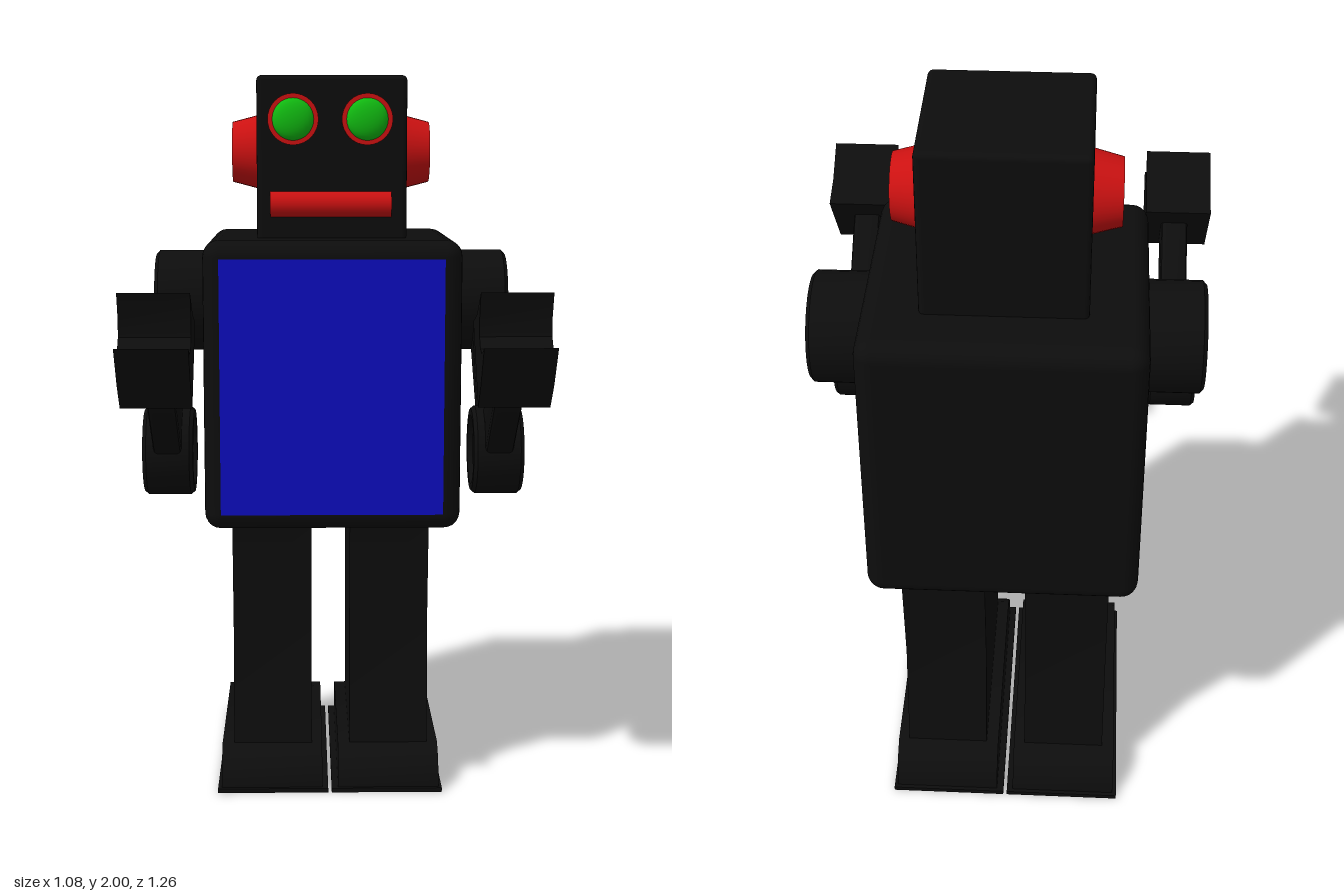
import * as THREE from 'three';
import { RoundedBoxGeometry } from 'three/addons/geometries/RoundedBoxGeometry.js';
import { toCreasedNormals } from 'three/addons/utils/BufferGeometryUtils.js';

const paint = (color) => new THREE.MeshStandardMaterial({ color });
const black = paint(0x0d0d0d);
const red = paint(0xcc1111);
const green = paint(0x11bb11);
const blue = paint(0x0c0cc0);

function part(parent, name, geometry, material, x = 0, y = 0, z = 0) {
  const mesh = new THREE.Mesh(geometry, material);
  mesh.name = name;
  mesh.position.set(x, y, z);
  parent.add(mesh);
  return mesh;
}

// Side outline given as [z, y] points, extruded along x and centred on x = 0.
function sideExtrude(points, width, bevel = 0) {
  const shape = new THREE.Shape(points.map(([z, y]) => new THREE.Vector2(z, y)));
  const depth = width - 2 * bevel;
  const g = new THREE.ExtrudeGeometry(shape, {
    depth, bevelEnabled: bevel > 0, bevelSize: bevel, bevelThickness: bevel,
    bevelOffset: -bevel, bevelSegments: 2,
  });
  g.translate(0, 0, -depth / 2);
  g.rotateY(-Math.PI / 2);
  return toCreasedNormals(g, 0.6);
}

// Flat bar with round ends between two [z, y] points.
function barPoints([z0, y0], [z1, y1], half) {
  const a = Math.atan2(y1 - y0, z1 - z0);
  const pts = [];
  for (let i = 0; i <= 8; i++) {
    const t = a + Math.PI / 2 + (i / 8) * Math.PI;
    pts.push([z0 + half * Math.cos(t), y0 + half * Math.sin(t)]);
  }
  for (let i = 0; i <= 8; i++) {
    const t = a - Math.PI / 2 + (i / 8) * Math.PI;
    pts.push([z1 + half * Math.cos(t), y1 + half * Math.sin(t)]);
  }
  return pts;
}

// Joint disc with its axis along x, a rim and a raised hub on both faces.
function jointDisc(radius, width) {
  const h = width / 2;
  const face = [[0, h - 0.01], [0.45, h - 0.01], [0.47, h - 0.025], [0.74, h - 0.025],
    [0.78, h], [0.93, h], [1, h - 0.01]];
  const lower = face.map(([r, y]) => [r, -y]);
  const profile = [...lower, ...face.slice().reverse()]
    .map(([r, y]) => new THREE.Vector2(r * radius, y));
  const g = new THREE.LatheGeometry(profile, 32);
  g.rotateZ(-Math.PI / 2);
  return toCreasedNormals(g, 0.6);
}

function buildHead() {
  const head = new THREE.Group();
  head.name = 'head';
  part(head, 'headBox', new RoundedBoxGeometry(0.415, 0.455, 0.42, 2, 0.015), black, 0, 1.772, -0.25);
  for (const s of [-1, 1]) {
    // Tapered ears
    const ear = part(head, s > 0 ? 'leftEar' : 'rightEar',
      new THREE.CylinderGeometry(0.085, 0.106, 0.08, 32), red, s * 0.24, 1.79, -0.255);
    ear.rotation.z = -s * Math.PI / 2;
    // Eyes: red disc with a domed green lens
    const x = s * 0.102 - 0.005;
    const ring = part(head, 'eyeRing', new THREE.CylinderGeometry(0.07, 0.07, 0.03, 32), red, x, 1.88, -0.036);
    ring.rotation.x = Math.PI / 2;
    const lens = part(head, 'eyeLens', new THREE.SphereGeometry(0.058, 24, 16), green, x, 1.88, -0.024);
    lens.scale.z = 0.42;
  }
  const mouth = part(head, 'mouth', new THREE.CylinderGeometry(0.037, 0.037, 0.335, 20), red, -0.003, 1.648, -0.052);
  mouth.rotation.z = Math.PI / 2;
  return head;
}

function buildBody() {
  const body = new THREE.Group();
  body.name = 'body';
  part(body, 'torso', new RoundedBoxGeometry(0.71, 0.8, 0.71, 3, 0.045), black, 0, 1.155, -0.255);
  part(body, 'chestPanel', new THREE.BoxGeometry(0.615, 0.705, 0.02), blue, -0.002, 1.153, 0.093);
  return body;
}

function buildArm(side) {
  const arm = new THREE.Group();
  arm.name = side > 0 ? 'leftArm' : 'rightArm';
  const shoulder = [-0.255, 1.365], elbow = [0.133, 0.99], wrist = [0.42, 1.235];
  part(arm, 'shoulder', jointDisc(0.145, 0.175), black, side * 0.415, shoulder[1], shoulder[0]);
  part(arm, 'upperArm', sideExtrude(barPoints(shoulder, elbow, 0.072), 0.075, 0.012), black, side * 0.443);
  part(arm, 'elbow', jointDisc(0.12, 0.135), black, side * 0.443, elbow[1], elbow[0]);
  part(arm, 'forearm', sideExtrude(barPoints(elbow, wrist, 0.07), 0.075, 0.012), black, side * 0.443);
  // Open claw with a hollow grip
  const claw = [[0.344, 1.362], [0.498, 1.16], [0.56, 1.225], [0.628, 1.325], [0.572, 1.305],
    [0.535, 1.312], [0.508, 1.34], [0.505, 1.385], [0.53, 1.452], [0.435, 1.388]];
  part(arm, 'claw', sideExtrude(claw, 0.182), black, side * 0.45);
  return arm;
}

function buildLeg(side) {
  const leg = new THREE.Group();
  leg.name = side > 0 ? 'leftLeg' : 'rightLeg';
  const shin = [[0.035, 0.08], [0.03, 0.13], [-0.003, 0.44], [0.033, 0.79],
    [-0.543, 0.79], [-0.505, 0.44], [-0.538, 0.13], [-0.543, 0.08]];
  part(leg, 'shin', sideExtrude(shin, 0.222), black, side * 0.165 - 0.005);
  // Foot rounded at toe and heel, on a thin sole
  const toe = [[0.105, 0], [0.103, 0.03], [0.09, 0.065], [0.067, 0.095], [0.03, 0.12]];
  const heel = toe.map(([z, y]) => [-0.515 - z, y]).reverse();
  part(leg, 'foot', sideExtrude([...toe, ...heel], 0.285), black, side * 0.165 - 0.007);
  part(leg, 'sole', new THREE.BoxGeometry(0.312, 0.012, 0.745), black, side * 0.161 - 0.008, 0.006, -0.2575);
  return leg;
}

export function createModel() {
  const robot = new THREE.Group();
  robot.name = 'robot';
  robot.add(buildHead(), buildBody());
  for (const side of [-1, 1]) robot.add(buildArm(side), buildLeg(side));
  return robot;
}
